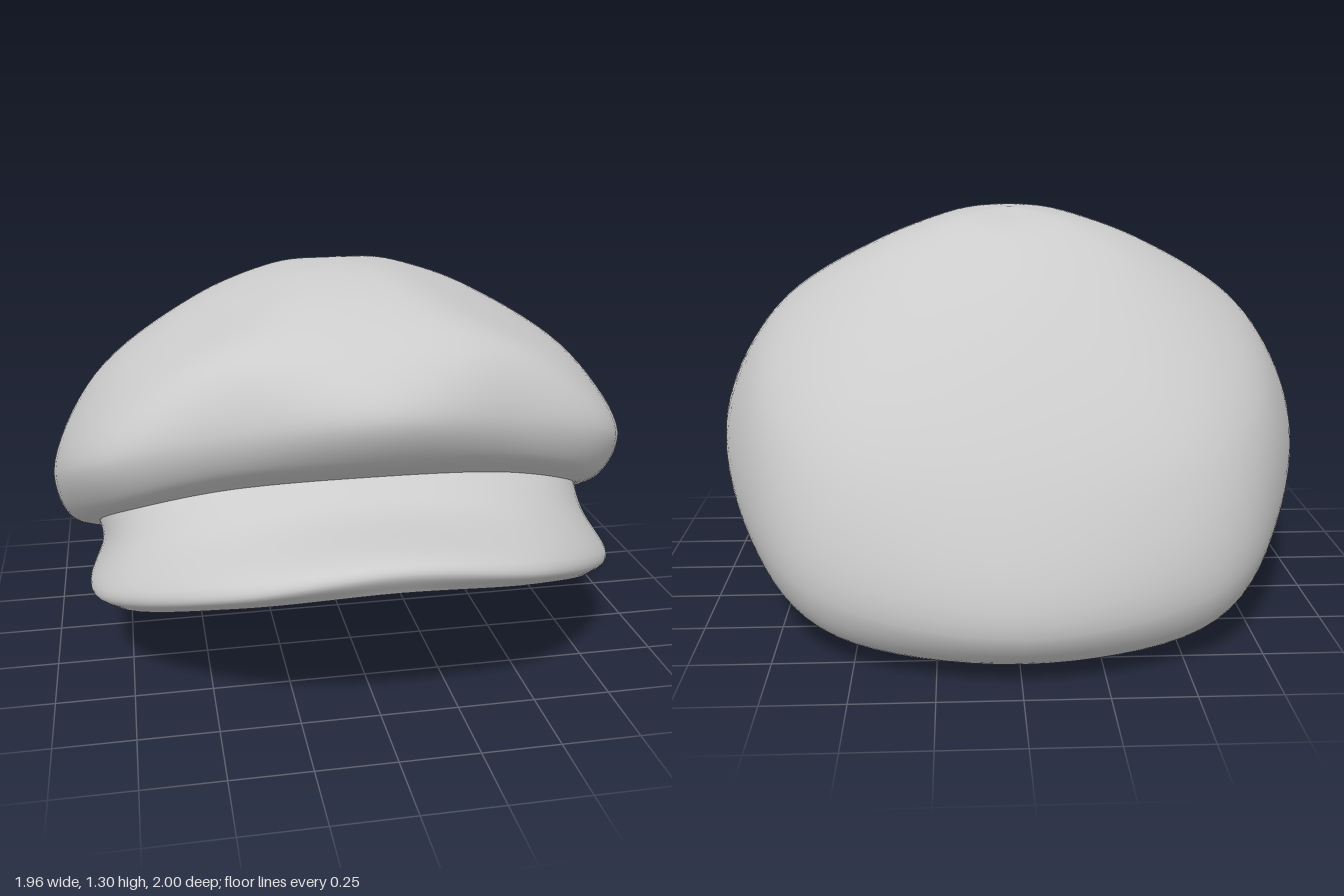
import * as THREE from 'three';
import { mergeVertices } from 'three/addons/utils/BufferGeometryUtils.js';

// Each ring lists half its points from front to back along the model's left side.
const apex = Array(7).fill([0, 1.3, -0.01]);
const top = [[0, 1.288, 0.19], [0.1, 1.286, 0.17], [0.18, 1.276, 0.12], [0.21, 1.272, -0.03], [0.2, 1.262, -0.14], [0.12, 1.247, -0.22], [0, 1.228, -0.28]];
const upper = [[0, 1.23, 0.43], [0.22, 1.222, 0.39], [0.4, 1.18, 0.25], [0.47, 1.175, -0.05], [0.45, 1.11, -0.29], [0.28, 1.06, -0.46], [0, 1.03, -0.54]];
const shoulder = [[0, 1.11, 0.66], [0.37, 1.1, 0.59], [0.67, 1.01, 0.42], [0.82, 0.93, -0.02], [0.78, 0.75, -0.45], [0.51, 0.63, -0.77], [0, 0.56, -0.89]];
const bulge = [[0, 0.97, 0.767], [0.41, 0.92, 0.66], [0.81, 0.8, 0.48], [0.98, 0.6, 0], [0.85, 0.38, -0.49], [0.57, 0.25, -0.85], [0, 0.19, -1]];
const under = [[0, 0.825, 0.705], [0.42, 0.79, 0.62], [0.77, 0.66, 0.45], [0.93, 0.43, 0], [0.82, 0.22, -0.41], [0.54, 0.09, -0.76], [0, 0.04, -0.85]];
const seam = [[0, 0.725, 0.56], [0.42, 0.695, 0.51], [0.73, 0.585, 0.35], [0.84, 0.41, 0], [0.75, 0.25, -0.33], [0.46, 0.12, -0.6], [0, 0.09, -0.67]];
const bandMid = [[0, 0.665, 0.68], [0.44, 0.62, 0.63], [0.76, 0.49, 0.4], [0.83, 0.35, 0.01], [0.74, 0.22, -0.33], [0.47, 0.09, -0.59], [0, 0.06, -0.665]];
const brimTop = [[0, 0.63, 0.98], [0.46, 0.545, 0.87], [0.82, 0.375, 0.485], [0.86, 0.285, 0.08], [0.735, 0.185, -0.33], [0.48, 0.065, -0.585], [0, 0.04, -0.66]];
const brimEdge = [[0, 0.6, 1], [0.46, 0.51, 0.885], [0.82, 0.34, 0.485], [0.855, 0.262, 0.08], [0.725, 0.165, -0.33], [0.475, 0.045, -0.58], [0, 0.015, -0.66]];
const brimBottom = [[0, 0.53, 0.96], [0.44, 0.46, 0.84], [0.78, 0.305, 0.47], [0.81, 0.235, 0.03], [0.7, 0.142, -0.33], [0.46, 0.033, -0.565], [0, 0.003, -0.63]];
const lip = [[0, 0.55, 0.87], [0.4, 0.49, 0.77], [0.7, 0.35, 0.43], [0.73, 0.28, 0.03], [0.64, 0.18, -0.31], [0.43, 0.06, -0.53], [0, 0.03, -0.6]];
const innerMid = [[0, 0.6, 0.66], [0.4, 0.56, 0.6], [0.66, 0.43, 0.36], [0.71, 0.33, 0.01], [0.64, 0.23, -0.31], [0.47, 0.11, -0.51], [0, 0.09, -0.61]];
const innerSeam = [[0, 0.77, 0.5], [0.4, 0.74, 0.46], [0.64, 0.62, 0.31], [0.71, 0.45, 0], [0.66, 0.29, -0.31], [0.52, 0.185, -0.5], [0, 0.18, -0.61]];

// Shrinks a ring toward the middle of the cap, for the lining.
const inset = ring => ring.map(([x, y, z]) => [x * 0.93, 0.5 + (y - 0.5) * 0.93, -0.08 + (z + 0.08) * 0.93]);

// Mirrors a half ring and samples it as a smooth closed loop.
function loopPoints(half, count) {
  const right = half.slice(1, -1).reverse().map(([x, y, z]) => [-x, y, z]);
  const pts = [...half, ...right].map(p => new THREE.Vector3(...p));
  const curve = new THREE.CatmullRomCurve3(pts, true, 'catmullrom', 0.5);
  return Array.from({ length: count }, (_, j) => curve.getPoint(j / count));
}

// Skins a smooth surface through a stack of rings.
function loft(name, rings, material, around = 96, stepsPerRing = 8) {
  const loops = rings.map(r => loopPoints(r, around));
  const rows = (rings.length - 1) * stepsPerRing;
  const positions = new Float32Array((rows + 1) * around * 3);
  for (let j = 0; j < around; j++) {
    const line = new THREE.CatmullRomCurve3(loops.map(l => l[j]), false, 'centripetal');
    for (let i = 0; i <= rows; i++) line.getPoint(i / rows).toArray(positions, (i * around + j) * 3);
  }
  const index = [];
  for (let i = 0; i < rows; i++) {
    for (let j = 0; j < around; j++) {
      const k = (j + 1) % around;
      const a = i * around + j, b = a + around, c = (i + 1) * around + k, d = i * around + k;
      index.push(a, b, c, a, c, d);
    }
  }
  let geometry = new THREE.BufferGeometry();
  geometry.setAttribute('position', new THREE.BufferAttribute(positions, 3));
  geometry.setIndex(index);
  geometry = mergeVertices(geometry, 1e-5);
  geometry.computeVertexNormals();
  const mesh = new THREE.Mesh(geometry, material);
  mesh.name = name;
  return mesh;
}

export function createModel() {
  const cloth = new THREE.MeshStandardMaterial({ color: 0xcccccc });
  cloth.name = 'grey cloth';
  const cap = new THREE.Group();
  cap.name = 'cap';

  // Puffed crown, overhanging the band
  cap.add(loft('crown', [apex, top, upper, shoulder, bulge, under, seam], cloth));
  // Band flaring into the brim at the front
  cap.add(loft('bandAndBrim', [seam, bandMid, brimTop, brimEdge, brimBottom], cloth));
  // Inner band and hollow inside of the crown
  cap.add(loft('innerBand', [brimBottom, lip, innerMid, innerSeam], cloth));
  cap.add(loft('lining', [innerSeam, ...[under, bulge, shoulder, upper, top, apex].map(inset)], cloth));
  return cap;
}
